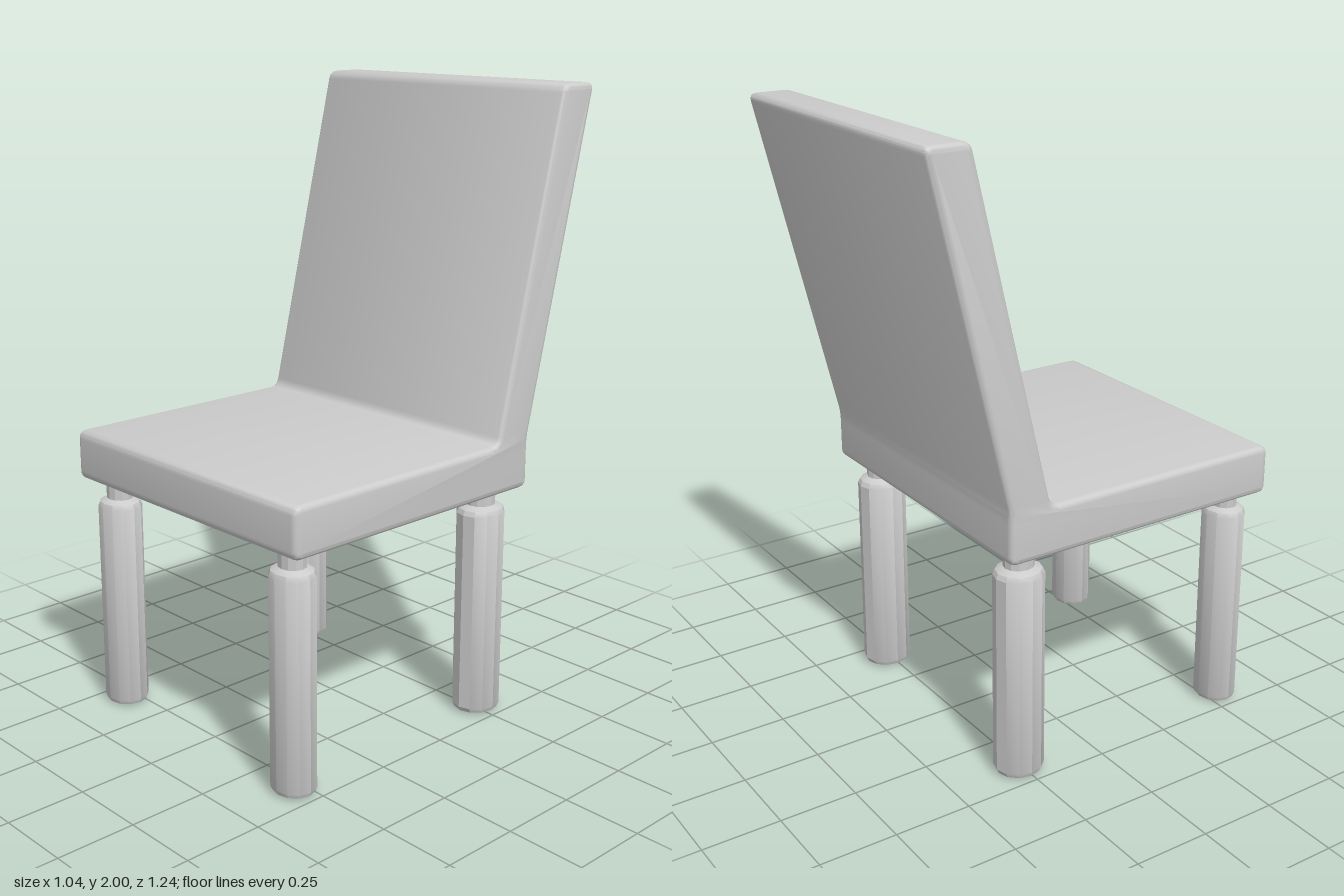
import * as THREE from 'three';
import { toCreasedNormals } from 'three/addons/utils/BufferGeometryUtils.js';

const material = new THREE.MeshStandardMaterial({ color: 0xcccccc });

// Closed outline with every corner rounded by radius r
function roundedShape(points, r) {
  const shape = new THREE.Shape();
  const corners = points.map(([x, y]) => new THREE.Vector2(x, y));
  corners.forEach((c, i) => {
    const prev = corners[(i + corners.length - 1) % corners.length];
    const next = corners[(i + 1) % corners.length];
    const a = prev.clone().sub(c).setLength(r).add(c);
    const b = next.clone().sub(c).setLength(r).add(c);
    if (i === 0) shape.moveTo(a.x, a.y);
    else shape.lineTo(a.x, a.y);
    shape.quadraticCurveTo(c.x, c.y, b.x, b.y);
  });
  shape.closePath();
  return shape;
}

// Seat and leaning backrest: one side profile (z, y) swept across the width
function createSeat() {
  const halfWidth = 0.52, bevel = 0.02;
  const profile = roundedShape([
    [0.62, 0.76], [0.62, 0.92], [-0.215, 0.92], [-0.475, 2],
    [-0.622, 2], [-0.36, 0.92], [-0.36, 0.76],
  ], 0.028);
  const geometry = new THREE.ExtrudeGeometry(profile, {
    depth: 2 * (halfWidth - bevel), curveSegments: 5,
    bevelSize: bevel, bevelThickness: bevel, bevelOffset: -bevel, bevelSegments: 4,
  });
  geometry.translate(0, 0, -(halfWidth - bevel)).rotateY(-Math.PI / 2);
  const mesh = new THREE.Mesh(toCreasedNormals(geometry, 0.6), material);
  mesh.name = 'seatAndBackrest';
  return mesh;
}

// Faceted leg with softened ends and a thin neck under the seat
function createLeg(name, x, z, depth) {
  const profile = [
    [0, 0], [0.054, 0], [0.068, 0.007], [0.075, 0.022],
    [0.075, 0.678], [0.068, 0.693], [0.054, 0.7],
    [0.045, 0.704], [0.045, 0.78],
  ].map(([r, y]) => new THREE.Vector2(r, y));
  const geometry = new THREE.LatheGeometry(profile, 12);
  geometry.scale(1, 1, depth / 0.15);
  const mesh = new THREE.Mesh(toCreasedNormals(geometry, 0.45), material);
  mesh.name = name;
  mesh.position.set(x, 0, z);
  return mesh;
}

export function createModel() {
  const chair = new THREE.Group();
  chair.name = 'chair';
  chair.add(createSeat());
  for (const [side, sign] of [['Left', 1], ['Right', -1]]) {
    chair.add(createLeg('front' + side + 'Leg', sign * 0.414, 0.538, 0.136));
    chair.add(createLeg('back' + side + 'Leg', sign * 0.414, -0.262, 0.162));
  }
  return chair;
}
